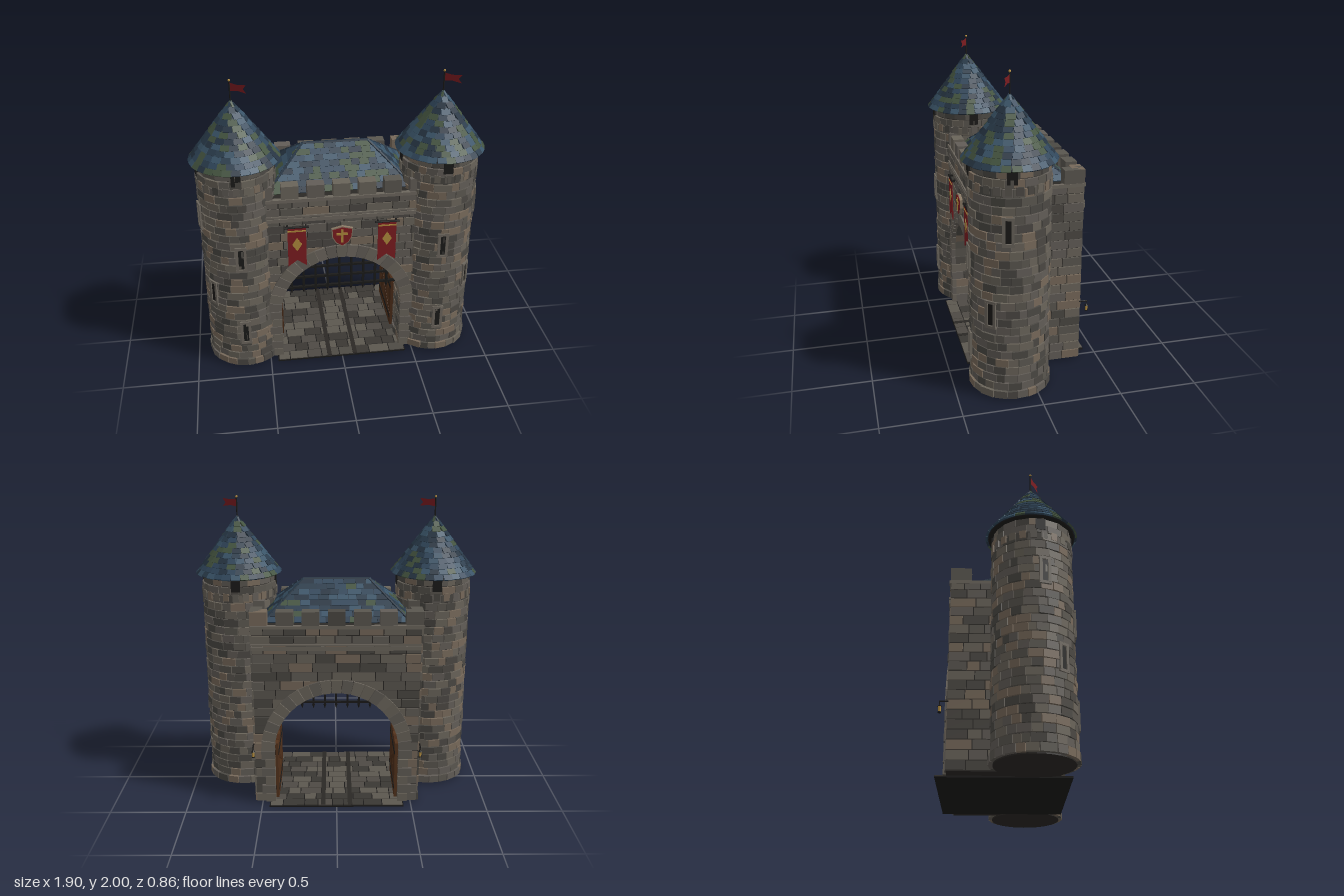
import * as THREE from 'three';
import { mergeGeometries } from 'three/addons/utils/BufferGeometryUtils.js';
import { ConvexGeometry } from 'three/addons/geometries/ConvexGeometry.js';

const STONE = [0x6a645a, 0x5a564f, 0x77695a, 0x4b4843, 0x625d57];
const SLATE = [0x30465a, 0x2a3c4c, 0x3a5468, 0x43533f, 0x263442];
const PAVING = [0x5c574f, 0x4e4a44, 0x3a3733];
const WOOD = [0x54331c, 0x482a17];
const MORTAR = 0x2b2825, IRON = 0x1b1a19, RED = 0x7c1c20, GOLD = 0xb08a3c, TRIM = 0x6d675e;
const ARCH_Y = 0.39, R_IN = 0.41, R_OUT = 0.5;
const FRONT = 0.3, BACK = -0.365, SIDE = 0.54;

let seed = 7;
const rnd = () => ((seed = (seed * 16807) % 2147483647) / 2147483647);
const V = (x, y, z) => new THREE.Vector3(x, y, z);
const T = (x, y, z) => new THREE.Matrix4().makeTranslation(x, y, z);
const RY = (a) => new THREE.Matrix4().makeRotationY(a);
const RX = (a) => new THREE.Matrix4().makeRotationX(a);
const RZ = (a) => new THREE.Matrix4().makeRotationZ(a);
const mat = (color, side = THREE.FrontSide) => new THREE.MeshStandardMaterial({ color, side, flatShading: true });

function add(parent, name, geo, color, x = 0, y = 0, z = 0, side) {
  const m = new THREE.Mesh(geo, mat(color, side));
  m.name = name;
  m.position.set(x, y, z);
  parent.add(m);
  return m;
}
const box = (p, name, w, h, d, color, x, y, z) => add(p, name, new THREE.BoxGeometry(w, h, d), color, x, y, z);
function bar(p, name, a, b, r, color) {
  const m = add(p, name, new THREE.CylinderGeometry(r, r, a.distanceTo(b), 6), color);
  m.position.copy(a).add(b).multiplyScalar(0.5);
  m.quaternion.setFromUnitVectors(V(0, 1, 0), b.clone().sub(a).normalize());
}
const poly = (pts) => new THREE.Shape(pts.map((p) => new THREE.Vector2(...p)));
const plate = (pts, depth) => new THREE.ExtrudeGeometry(poly(pts), { depth, bevelEnabled: false });

// Collects many blocks in random shades and merges them, one mesh per shade
function masonry(parent, name, shades, fill) {
  const lists = shades.map(() => []);
  fill((w, h, d, matrix) => {
    const i = Math.floor(rnd() * shades.length);
    lists[i].push(new THREE.BoxGeometry(w, h, d).applyMatrix4(matrix));
  });
  lists.forEach((l, i) => l.length && add(parent, name, mergeGeometries(l), shades[i]));
}
// One course of blocks of varied length from u0 to u1
function course(u0, u1, len, cb) {
  for (let u = u0; u < u1 - 0.005;) {
    let e = u + len * (0.65 + 0.7 * rnd());
    if (u1 - e < len * 0.4) e = u1;
    cb((u + e) / 2, e - u - 0.006);
    u = e;
  }
}

function tower(s) {
  const g = new THREE.Group();
  g.name = 'tower';
  g.position.set(s * 0.66, 0, 0.135);
  add(g, 'towerCore', new THREE.CylinderGeometry(0.235, 0.235, 1.48, 32), MORTAR, 0, 0.745, 0);
  masonry(g, 'towerStones', STONE, (put) => {
    const rows = 27, h = 1.48 / rows;
    for (let i = 0; i < rows; i++) {
      const r = i > 25 ? 0.224 : i < 1 ? 0.24 : 0.231;
      course(i % 2 * 0.13, i % 2 * 0.13 + Math.PI * 2, 0.3, (a, w) =>
        put(w * 0.245, h - 0.006, 0.03, RY(a).multiply(T(0, 0.01 + (i + 0.5) * h, r + rnd() * 0.006))));
    }
    // corbel blocks under the eaves
    for (let k = 0; k < 24; k++) put(0.04, 0.05, 0.04, RY(k * Math.PI / 12).multiply(T(0, 1.365, 0.235)));
  });
  // arrow slits winding round the outside
  for (const [deg, y] of [[0, 0.875], [0, 0.29], [50, 0.58], [75, 1.12]]) {
    const slit = new THREE.Group();
    slit.name = 'arrowSlit';
    slit.rotation.y = s * deg * Math.PI / 180;
    box(slit, 'slitGap', 0.05, 0.14, 0.03, IRON, 0, y, 0.238);
    for (const e of [-1, 1]) {
      box(slit, 'slitJamb', 0.018, 0.16, 0.03, TRIM, e * 0.026, y, 0.245);
      box(slit, 'slitLedge', 0.075, 0.018, 0.03, TRIM, 0, y + e * 0.082, 0.244);
    }
    g.add(slit);
  }
  for (const deg of [0, 80, 180, 270]) {
    const w = box(g, 'towerWindow', 0.06, 0.075, 0.03, IRON, 0, 1.44, 0);
    w.rotation.y = s * deg * Math.PI / 180;
    w.translateZ(0.236);
  }
  // conical slate roof
  const R = 0.278, y0 = 1.49, H = 0.37, rows = 12, slope = Math.atan(R / H), L = Math.hypot(R, H) / rows;
  add(g, 'roofCore', new THREE.ConeGeometry(R, H, 32), SLATE[4], 0, y0 + H / 2, 0);
  add(g, 'eavesRing', new THREE.CylinderGeometry(R, R - 0.01, 0.015, 32), IRON, 0, y0, 0);
  masonry(g, 'roofSlates', SLATE, (put) => {
    for (let i = 0; i < rows; i++) {
      const t = (i + 0.5) / rows, r = R * (1 - t), n = Math.max(6, Math.round(r * 2 * Math.PI / 0.055));
      for (let k = 0; k < n; k++)
        put(2 * Math.PI * r / n + 0.001, L * (1.05 + rnd() * 0.2), 0.01, RY((k + i % 2 / 2 + rnd() * 0.15) * 2 * Math.PI / n)
          .multiply(T(0, y0 + H * t, r + 0.003)).multiply(RX(-slope - 0.1)));
    }
  });
  // flag on its pole
  bar(g, 'flagPole', V(0, 1.84, 0), V(0, 1.99, 0), 0.005, IRON);
  add(g, 'poleKnob', new THREE.SphereGeometry(0.008, 8, 6), GOLD, 0, 1.992, 0);
  const flag = add(g, 'flag', new THREE.ShapeGeometry(poly([[0, 1.925], [0.05, 1.932], [0.112, 1.922], [0.09, 1.948], [0.112, 1.975], [0.05, 1.97], [0, 1.978]])),
    RED, 0, 0, 0, THREE.DoubleSide);
  flag.rotation.y = -0.5;
  return g;
}

function gatehouse() {
  const g = new THREE.Group();
  g.name = 'gatehouse';
  // solid wall pierced by the arched passage
  const s = new THREE.Shape();
  s.moveTo(-SIDE, 0.01).lineTo(-0.43, 0.01).lineTo(-0.43, ARCH_Y);
  s.absarc(0, ARCH_Y, 0.43, Math.PI, 0, true);
  s.lineTo(0.43, 0.01).lineTo(SIDE, 0.01).lineTo(SIDE, 1.24).lineTo(-SIDE, 1.24);
  add(g, 'wallCore', new THREE.ExtrudeGeometry(s, { depth: FRONT - BACK, bevelEnabled: false, curveSegments: 24 }), MORTAR, 0, 0, BACK);
  const rows = 20, h = 1.235 / rows;
  masonry(g, 'wallStones', STONE, (put) => {
    for (let i = 0; i < rows; i++) {
      const y = 0.012 + (i + 0.5) * h, dy = y - ARCH_Y;
      const gap = dy < 0 ? 0.47 : dy < 0.47 ? Math.sqrt(0.47 ** 2 - dy * dy) : 0;
      for (const z of [FRONT, BACK]) {
        const lay = (x, w) => put(w, h - 0.006, 0.016, T(x, y, z + (rnd() - 0.5) * 0.006));
        if (gap) { course(-SIDE, -gap, 0.12, lay); course(gap, SIDE, 0.12, lay); }
        else course(-SIDE, SIDE, 0.13, lay);
      }
      for (const e of [-1, 1])
        course(BACK - 0.006, 0.04, 0.12, (z, w) => put(0.016, h - 0.006, w, T(e * (SIDE + rnd() * 0.004), y, z)));
    }
    // passage lining: jambs and vault
    for (const e of [-1, 1]) for (let i = 0; i < 6; i++)
      course(BACK, FRONT, 0.13, (z, w) => put(0.02, 0.058, w, T(e * 0.422, 0.042 + i * 0.063, z)));
    for (let k = 0; k < 20; k++) course(BACK, FRONT, 0.15, (z, w) =>
      put(0.02, 0.066, w + 0.004, T(0, ARCH_Y, z).multiply(RZ((k + 0.5) * Math.PI / 20)).multiply(T(0.424, 0, 0))));
    // battlements on front, back and sides
    for (let i = -3; i <= 3; i++) for (const z of [FRONT - 0.03, BACK + 0.03])
      put(0.11, 0.1, 0.075, T(i * 0.165, 1.29, z));
    for (const e of [-1, 1]) {
      put(0.075, 0.1, 0.13, T(e * 0.513, 1.29, -0.305));
      put(0.075, 0.1, 0.08, T(e * 0.513, 1.29, -0.06));
    }
  });
  // string courses
  for (const [y, t] of [[1.1, 0.025], [1.125, 0.012], [1.24, 0.022]])
    for (const z of [FRONT, BACK]) box(g, 'stringCourse', 1.09, t, 0.03, TRIM, 0, y, z);
  for (const e of [-1, 1]) box(g, 'stringCourse', 0.025, 0.022, 0.42, TRIM, e * SIDE, 1.24, -0.165);
  // arch rings of wedge stones with jamb quoins
  const N = 21;
  for (const z of [FRONT - 0.01, BACK - 0.02]) {
    for (let k = 0; k < N; k++) {
      const a = k * Math.PI / N + 0.004, b = (k + 1) * Math.PI / N - 0.004;
      const pt = (r, t) => [r * Math.cos(t), ARCH_Y + r * Math.sin(t)];
      add(g, 'archStone', plate([pt(R_IN, a), pt(R_OUT, a), pt(R_OUT, b), pt(R_IN, b)], 0.03), [TRIM, STONE[0], STONE[4]][k % 3], 0, 0, z);
    }
    for (let i = 0; i < 6; i++) for (const e of [-1, 1]) {
      const w = i % 2 ? 0.09 : 0.065;
      box(g, 'jambStone', w, 0.059, 0.03, STONE[i % 2 * 4], e * (R_IN + w / 2), 0.042 + i * 0.063, z + 0.015);
    }
  }
  return g;
}

// Hipped slate roof behind the battlements
function hipRoof() {
  const g = new THREE.Group();
  g.name = 'hipRoof';
  const y = 1.25, fl = V(-0.475, y, 0.23), fr = V(0.475, y, 0.23), bl = V(-0.475, y, -0.3), br = V(0.475, y, -0.3);
  const l = V(-0.215, 1.475, -0.035), r = V(0.215, 1.475, -0.035);
  add(g, 'roofCore', new ConvexGeometry([fl, fr, bl, br, l, r]), SLATE[4]);
  masonry(g, 'roofSlates', SLATE, (put) => {
    for (const [a, b, c, d] of [[fl, fr, l, r], [br, bl, r, l], [fr, br, r, r], [bl, fl, l, l]]) {
      const u = b.clone().sub(a).normalize(), mid = a.clone().add(b).sub(c).sub(d).negate();
      const v = mid.addScaledVector(u, -mid.dot(u)).normalize(), n = u.clone().cross(v);
      const rowsN = 8, len = 0.347 / rowsN;
      for (let i = 0; i < rowsN; i++) {
        const t = (i + 0.5) / rowsN, p = a.clone().lerp(c, t), q = b.clone().lerp(d, t);
        course(0, p.distanceTo(q), 0.07, (k, w) => {
          const m = new THREE.Matrix4().makeBasis(u, v, n).setPosition(p.clone().addScaledVector(u, k).addScaledVector(n, 0.003));
          put(w + 0.004, len * (1 + rnd() * 0.15), 0.008, m.multiply(RX(-0.06)));
        });
      }
    }
  });
  for (const [a, b] of [[l, r], [fl, l], [bl, l], [fr, r], [br, r]]) bar(g, 'ridge', a, b, 0.011, SLATE[4]);
  return g;
}

export function createModel() {
  seed = 7;
  const root = new THREE.Group();
  root.name = 'castleGate';
  root.add(tower(-1), tower(1), gatehouse(), hipRoof());

  // paved passage floor
  box(root, 'floorSlab', 0.9, 0.01, 0.805, IRON, 0, 0.005, -0.0325);
  masonry(root, 'pavingStones', PAVING, (put) => {
    for (let i = 0; i < 10; i++)
      course(-0.445, 0.445, 0.11, (x, w) => put(w, 0.008, 0.075, T(x, 0.011, -0.395 + i * 0.0805)));
  });
  for (const e of [-1, 1]) box(root, 'wheelTrack', 0.03, 0.004, 0.8, MORTAR, e * 0.09, 0.015, -0.0325);

  // half-raised portcullis
  const grate = new THREE.Group();
  grate.name = 'portcullis';
  grate.position.z = 0.2;
  root.add(grate);
  for (let i = -4; i <= 4; i++) {
    const x = i * 0.0825, top = ARCH_Y + Math.sqrt(0.42 ** 2 - x * x);
    box(grate, 'uprightBar', 0.015, top - 0.48, 0.015, IRON, x, (top + 0.48) / 2, 0);
    add(grate, 'barSpike', new THREE.ConeGeometry(0.011, 0.035, 4), IRON, x, 0.465, 0).rotation.x = Math.PI;
  }
  for (const y of [0.5, 0.58, 0.66, 0.735])
    box(grate, 'crossBar', 2 * Math.sqrt(0.42 ** 2 - (y - ARCH_Y) ** 2), 0.014, 0.018, IRON, 0, y, 0);

  for (const e of [-1, 1]) {
    // open plank doors against the passage walls
    const door = new THREE.Group();
    door.name = 'door';
    door.position.set(e * 0.4, 0, -0.125);
    for (let i = 0; i < 6; i++) box(door, 'doorPlank', 0.02, 0.4, 0.068, WOOD[i % 2], 0, 0.22, (i - 2.5) * 0.071);
    for (const y of [0.09, 0.35]) box(door, 'doorStrap', 0.026, 0.025, 0.42, IRON, 0, y, 0);
    box(door, 'doorBrace', 0.024, 0.025, 0.46, WOOD[1], 0, 0.22, 0).rotation.x = 0.52;
    root.add(door);

    // hanging banners
    const banner = new THREE.Group();
    banner.name = 'banner';
    banner.position.set(e * 0.295, 0, 0.328);
    add(banner, 'bannerCloth', plate([[-0.06, 1.05], [-0.06, 0.765], [0, 0.81], [0.06, 0.765], [0.06, 1.05]], 0.006), RED);
    add(banner, 'bannerDiamond', plate([[0, 0.88], [0.032, 0.93], [0, 0.98], [-0.032, 0.93]], 0.009), GOLD);
    box(banner, 'bannerBand', 0.12, 0.01, 0.01, GOLD, 0, 1.03, 0.004);
    bar(banner, 'bannerRod', V(-0.08, 1.056, 0.003), V(0.08, 1.056, 0.003), 0.007, IRON);
    for (const k of [-0.06, 0.06]) box(banner, 'rodBracket', 0.01, 0.012, 0.03, IRON, k, 1.056, -0.012);
    root.add(banner);

    // lanterns at the back corners
    const lamp = new THREE.Group();
    lamp.name = 'lantern';
    lamp.position.set(e * 0.55, 0, -0.412);
    bar(lamp, 'lanternArm', V(0, 0.43, 0.05), V(0, 0.43, -0.005), 0.005, IRON);
    bar(lamp, 'lanternChain', V(0, 0.43, 0), V(0, 0.405, 0), 0.003, IRON);
    add(lamp, 'lanternGlass', new THREE.CylinderGeometry(0.01, 0.008, 0.035, 6), GOLD, 0, 0.38, 0);
    add(lamp, 'lanternCap', new THREE.ConeGeometry(0.014, 0.016, 6), IRON, 0, 0.405, 0);
    add(lamp, 'lanternBase', new THREE.CylinderGeometry(0.011, 0.011, 0.006, 6), IRON, 0, 0.361, 0);
    root.add(lamp);
  }

  // shield over the arch
  const outline = (k) => [[-0.07, 0.05], [0, 0.068], [0.07, 0.05], [0.066, -0.01], [0.042, -0.055], [0, -0.082], [-0.042, -0.055], [-0.066, -0.01]]
    .map(([x, y]) => [x * k, y * k]).reverse();
  add(root, 'shieldRim', plate(outline(1), 0.018), 0x8a7a66, 0, 0.972, 0.312);
  add(root, 'shieldFace', plate(outline(0.9), 0.022), RED, 0, 0.972, 0.312);
  box(root, 'shieldCross', 0.016, 0.095, 0.006, GOLD, 0, 0.972, 0.335);
  box(root, 'shieldCross', 0.075, 0.016, 0.006, GOLD, 0, 0.987, 0.335);
  return root;
}
